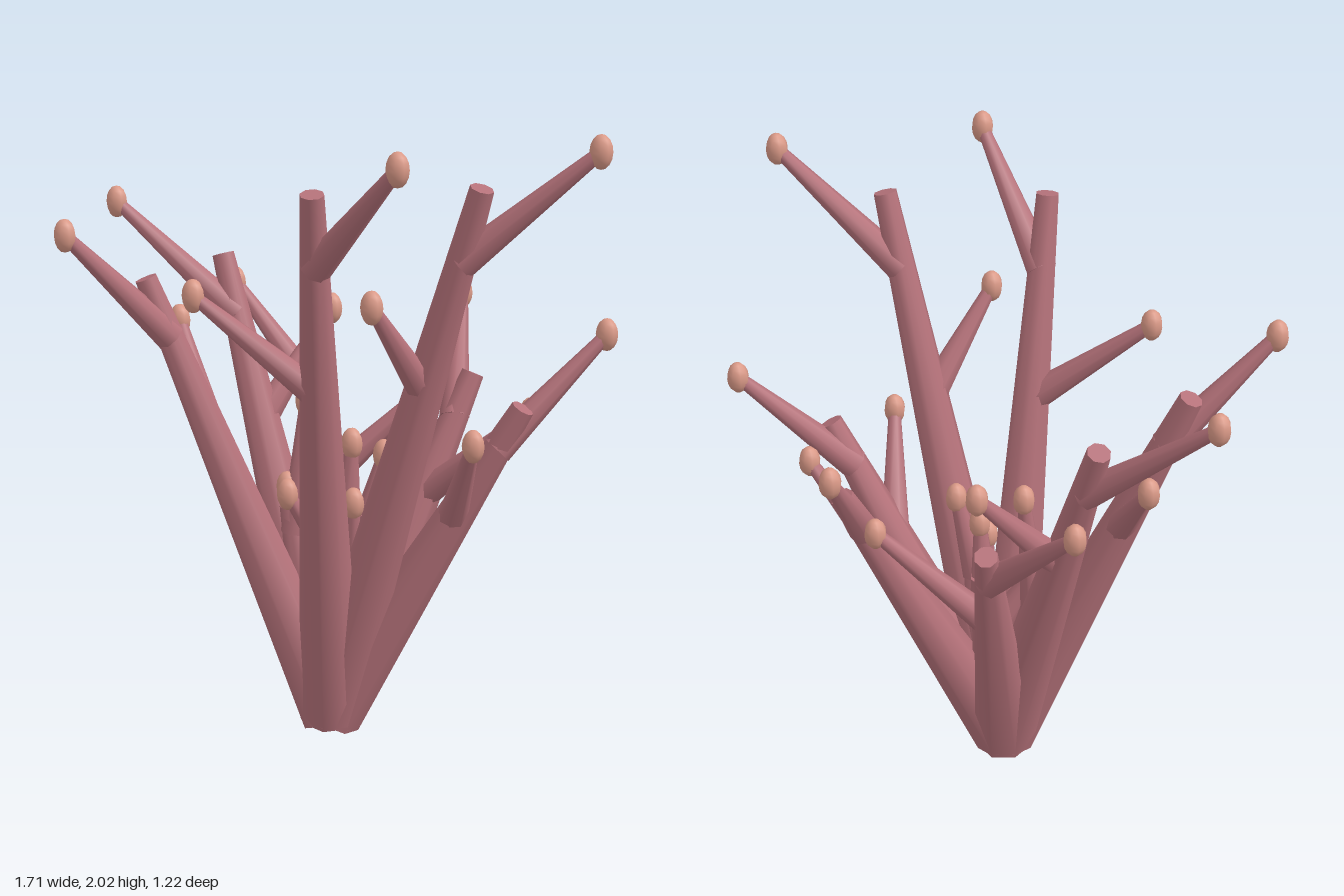
import * as THREE from 'three';

const coralPink = new THREE.MeshStandardMaterial({ color: 0xb5727a });
coralPink.name = 'coralPink';
const paleTip = new THREE.MeshStandardMaterial({ color: 0xdb9a88 });
paleTip.name = 'paleTip';

const ROOT = new THREE.Vector3(-0.035, 0.03, 0);
const UP = new THREE.Vector3(0, 1, 0);

// Tapered stem between two points
function stem(name, from, to, r0, r1) {
  const dir = to.clone().sub(from);
  const mesh = new THREE.Mesh(new THREE.CylinderGeometry(r1, r0, dir.length(), 8), coralPink);
  mesh.name = name;
  mesh.position.copy(from).addScaledVector(dir, 0.5);
  mesh.quaternion.setFromUnitVectors(UP, dir.normalize());
  return mesh;
}

// Each branch: trunk end, then the tips of its upper and lower twigs
const branches = [
  [[0.02, 1.84, 0.44], [0.30, 1.95, 0.57], [-0.365, 1.50, 0.37]],
  [[0.48, 1.84, 0.24], [0.815, 1.95, 0.17], [0.185, 1.50, 0.385]],
  [[0.575, 1.11, 0.0], [0.805, 1.315, -0.17], [0.465, 1.05, 0.235]],
  [[0.35, 1.11, -0.36], [0.27, 1.32, -0.575], [0.575, 1.05, -0.15]],
  [[-0.18, 1.11, -0.46], [-0.495, 1.32, -0.54], [0.21, 1.05, -0.415]],
  [[-0.47, 1.47, -0.31], [-0.82, 1.63, -0.285], [-0.135, 1.28, -0.425]],
  [[-0.61, 1.47, 0.07], [-0.805, 1.635, 0.255], [-0.58, 1.275, -0.18]],
  // short inner shoots
  [[-0.18, 0.72, -0.05], [-0.135, 1.06, -0.08], [-0.19, 0.78, -0.045]],
  [[0.09, 0.74, 0.03], [0.14, 0.93, 0.013], [0.055, 0.78, 0.065]],
  [[0.0, 0.74, -0.1], [0.015, 0.93, -0.08], [-0.17, 0.78, 0.025]],
];

export function createModel() {
  const model = new THREE.Group();
  model.name = 'branchingCoral';
  const tipGeometry = new THREE.SphereGeometry(0.035, 8, 8).scale(1, 1.5, 1);

  branches.forEach(([end, ...tips], i) => {
    const branch = new THREE.Group();
    branch.name = 'branch' + (i + 1);
    const top = new THREE.Vector3(...end);
    branch.add(stem('trunk', ROOT, top, 0.105, 0.037));

    // Two side twigs, each ending in a pale bud
    tips.forEach((tip, k) => {
      const from = ROOT.clone().lerp(top, [0.87, 0.64][k]);
      const to = new THREE.Vector3(...tip);
      branch.add(stem('twig', from, to, 0.05, 0.02));
      const bud = new THREE.Mesh(tipGeometry, paleTip);
      bud.name = 'bud';
      bud.position.copy(to);
      branch.add(bud);
    });
    model.add(branch);
  });
  return model;
}
